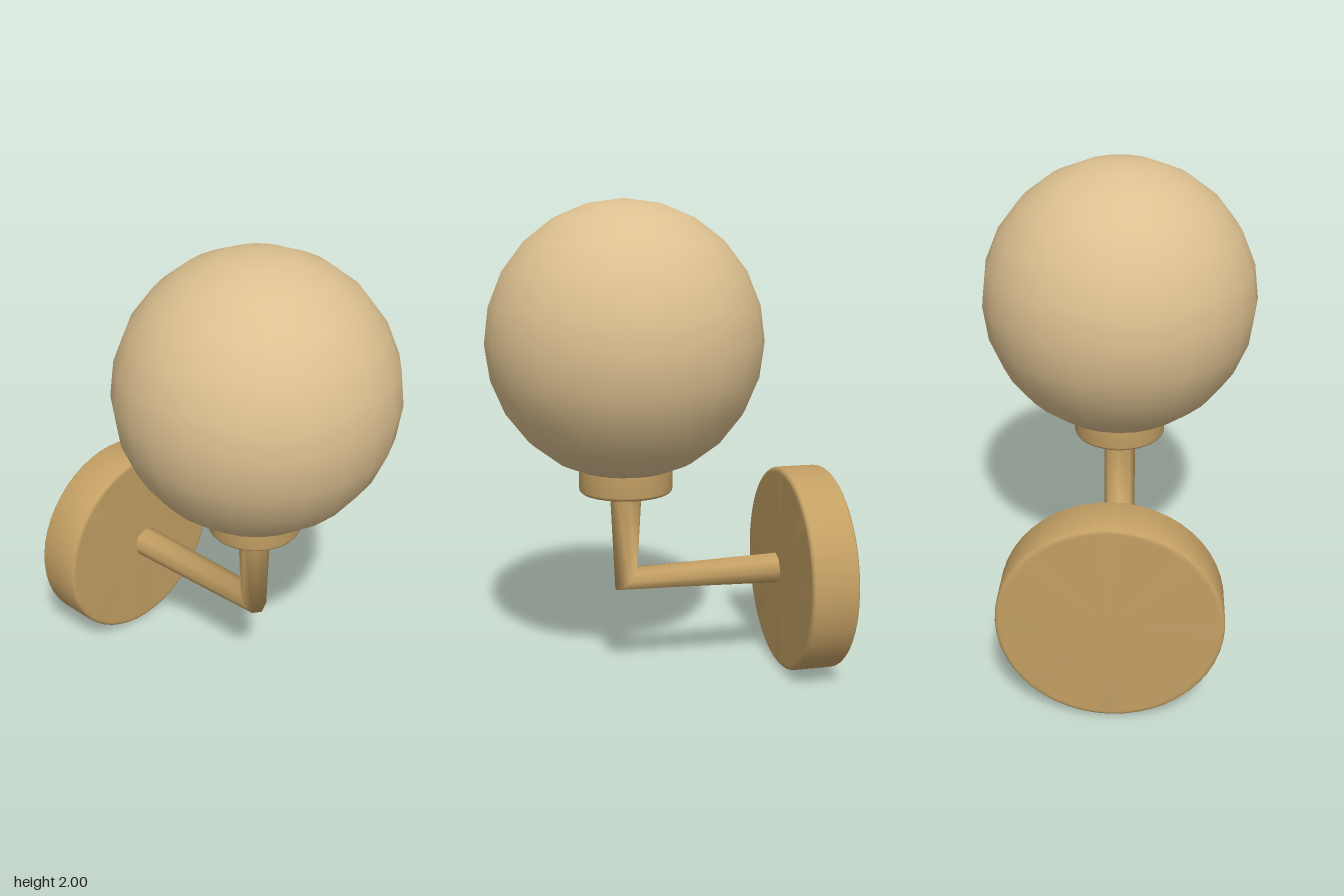
import * as THREE from 'three';
import { toCreasedNormals } from 'three/addons/utils/BufferGeometryUtils.js';

// Solid disc along +y from y = 0, with rounded rims.
function roundedDisc(radius, height, bevel, roundTop) {
  const pts = [new THREE.Vector2(0, 0), new THREE.Vector2(radius - bevel * 1.5, 0)];
  const steps = 4;
  const arc = (cy, from) => {
    for (let i = 0; i <= steps; i++) {
      const a = from + (i / steps) * Math.PI / 2;
      pts.push(new THREE.Vector2(radius - bevel + Math.cos(a) * bevel, cy + Math.sin(a) * bevel));
    }
  };
  arc(bevel, -Math.PI / 2);
  if (roundTop) arc(height - bevel, 0);
  else pts.push(new THREE.Vector2(radius, height));
  pts.push(new THREE.Vector2(radius - bevel * 1.5, height), new THREE.Vector2(0, height));
  return toCreasedNormals(new THREE.LatheGeometry(pts, 48), 0.6);
}

// Octagonal tube swept through sections of centre (y, z) and in-plane axis (vy, vz).
function sweptArm(sections, radius, sides) {
  const pos = [], index = [];
  sections.forEach(([y, z, vy, vz], s) => {
    for (let i = 0; i < sides; i++) {
      const a = (i / sides) * Math.PI * 2;
      const c = Math.cos(a) * radius, d = Math.sin(a) * radius;
      pos.push(c, y + d * vy, z + d * vz);
      if (s === sections.length - 1) continue;
      const p = s * sides + i, q = s * sides + (i + 1) % sides;
      index.push(p, q, p + sides, q, q + sides, p + sides);
    }
  });
  const geo = new THREE.BufferGeometry();
  geo.setAttribute('position', new THREE.Float32BufferAttribute(pos, 3));
  geo.setIndex(index);
  geo.computeVertexNormals();
  return geo;
}

export function createModel() {
  const brass = new THREE.MeshStandardMaterial({ color: 0xc4a064 });
  brass.name = 'brass';
  const glass = new THREE.MeshStandardMaterial({ color: 0xdcc090 });
  glass.name = 'warmGlass';

  const model = new THREE.Group();
  model.name = 'wallLamp';
  const add = (name, geo, mat, x, y, z) => {
    const mesh = new THREE.Mesh(geo, mat);
    mesh.name = name;
    mesh.position.set(x, y, z);
    model.add(mesh);
    return mesh;
  };

  const armZ = 0.155, armY = 0.442, armR = 0.067, armEnd = -0.5;

  // Globe and the cup that holds it
  add('globe', new THREE.SphereGeometry(0.56, 24, 12), glass, 0, 1.44, armZ);
  add('globeHolder', roundedDisc(0.192, 0.1, 0.015, false), brass, 0, 0.82, armZ);

  // Bent arm with a mitred elbow
  const h = Math.SQRT1_2;
  add('arm', sweptArm([
    [0.825, armZ, 0, 1],
    [armY, armZ, -h, h],
    [armY, armEnd, -1, 0],
  ], armR, 8), brass, 0, 0, 0);
  const end = add('armEnd', new THREE.CircleGeometry(armR, 8), brass, 0, armY, armEnd);
  end.rotation.y = Math.PI;

  // Round wall plate
  const plate = add('wallPlate', roundedDisc(0.438, 0.2, 0.018, true), brass, 0, 0.44, -0.715);
  plate.rotation.x = Math.PI / 2;

  return model;
}
